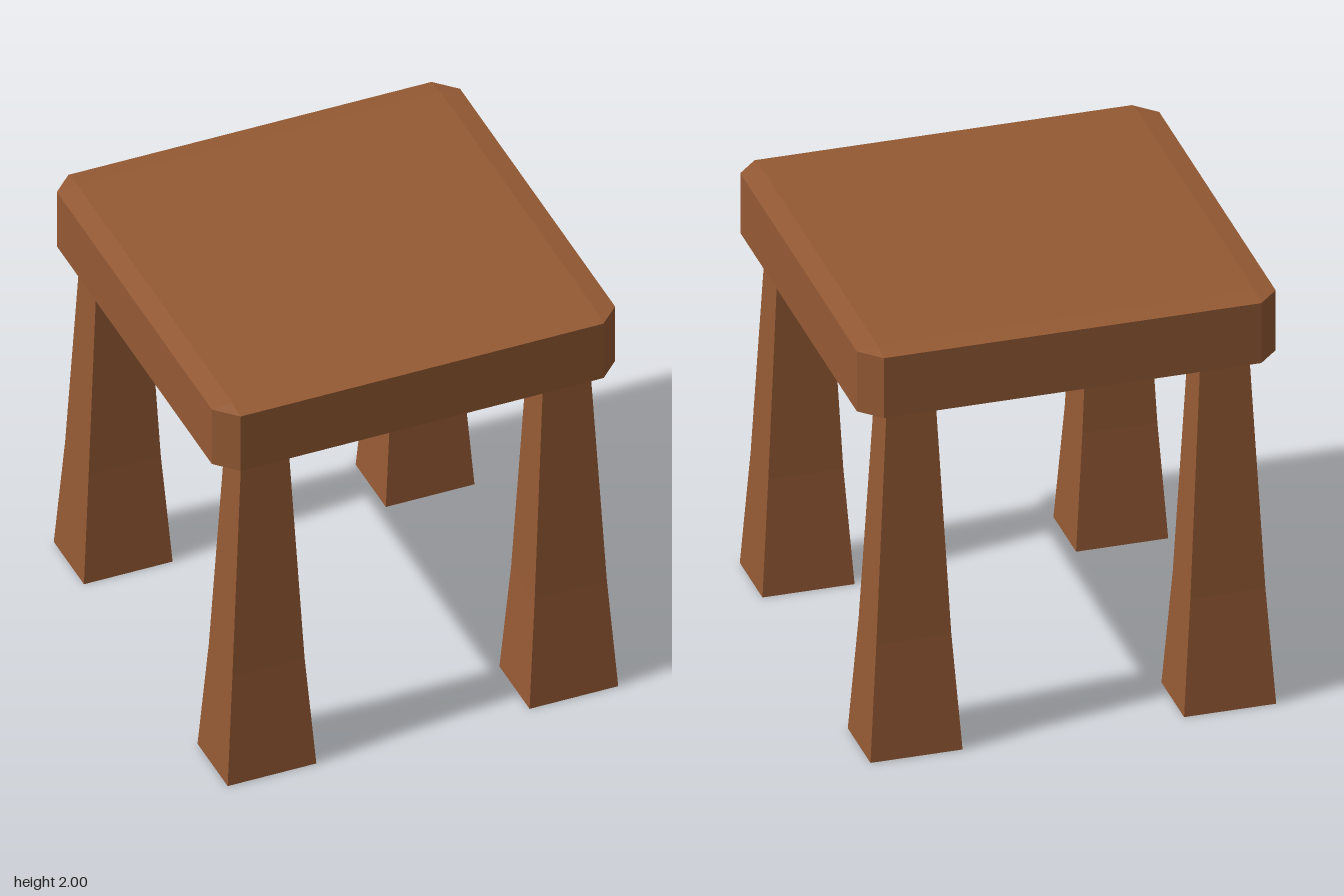
import * as THREE from 'three';
import { ConvexGeometry } from 'three/addons/geometries/ConvexGeometry.js';

const wood = new THREE.MeshStandardMaterial({ color: 0x955a34 });
wood.name = 'brown wood';
wood.flatShading = true;

// Square slab with every edge and corner bevelled
function seatGeometry() {
  const half = 0.955, inner = 0.86, midY = 1.8375, halfY = 0.1625, innerY = 0.148;
  const points = [];
  for (const x of [-1, 1]) for (const y of [-1, 1]) for (const z of [-1, 1]) {
    points.push(
      new THREE.Vector3(x * inner, midY + y * halfY, z * inner),
      new THREE.Vector3(x * half, midY + y * innerY, z * inner),
      new THREE.Vector3(x * inner, midY + y * innerY, z * half)
    );
  }
  return new ConvexGeometry(points);
}

// Leg cross-sections from floor to seat: height, x range, z range
const sections = [
  { y: 0, x: [0.505, 0.925], z: [0.63, 0.965] },
  { y: 0.56, x: [0.545, 0.887], z: [0.667, 0.928] },
  { y: 1.68, x: [0.602, 0.828], z: [0.708, 0.886] },
];

// Two-segment box whose rings are moved onto the cross-sections
function legGeometry(sideX, sideZ) {
  const geometry = new THREE.BoxGeometry(2, 2, 2, 1, 2, 1);
  const p = geometry.attributes.position;
  const place = ([a, b], side, t) => side * (a + b) / 2 + t * (b - a) / 2;
  for (let i = 0; i < p.count; i++) {
    const s = sections[Math.round(p.getY(i)) + 1];
    p.setXYZ(i, place(s.x, sideX, p.getX(i)), s.y, place(s.z, sideZ, p.getZ(i)));
  }
  geometry.computeVertexNormals();
  return geometry;
}

export function createModel() {
  const model = new THREE.Group();
  model.name = 'stool';

  const seat = new THREE.Mesh(seatGeometry(), wood);
  seat.name = 'seat';
  model.add(seat);

  for (const sx of [-1, 1]) for (const sz of [-1, 1]) {
    const leg = new THREE.Mesh(legGeometry(sx, sz), wood);
    leg.name = (sz > 0 ? 'front' : 'back') + (sx > 0 ? 'Left' : 'Right') + 'Leg';
    model.add(leg);
  }
  return model;
}
